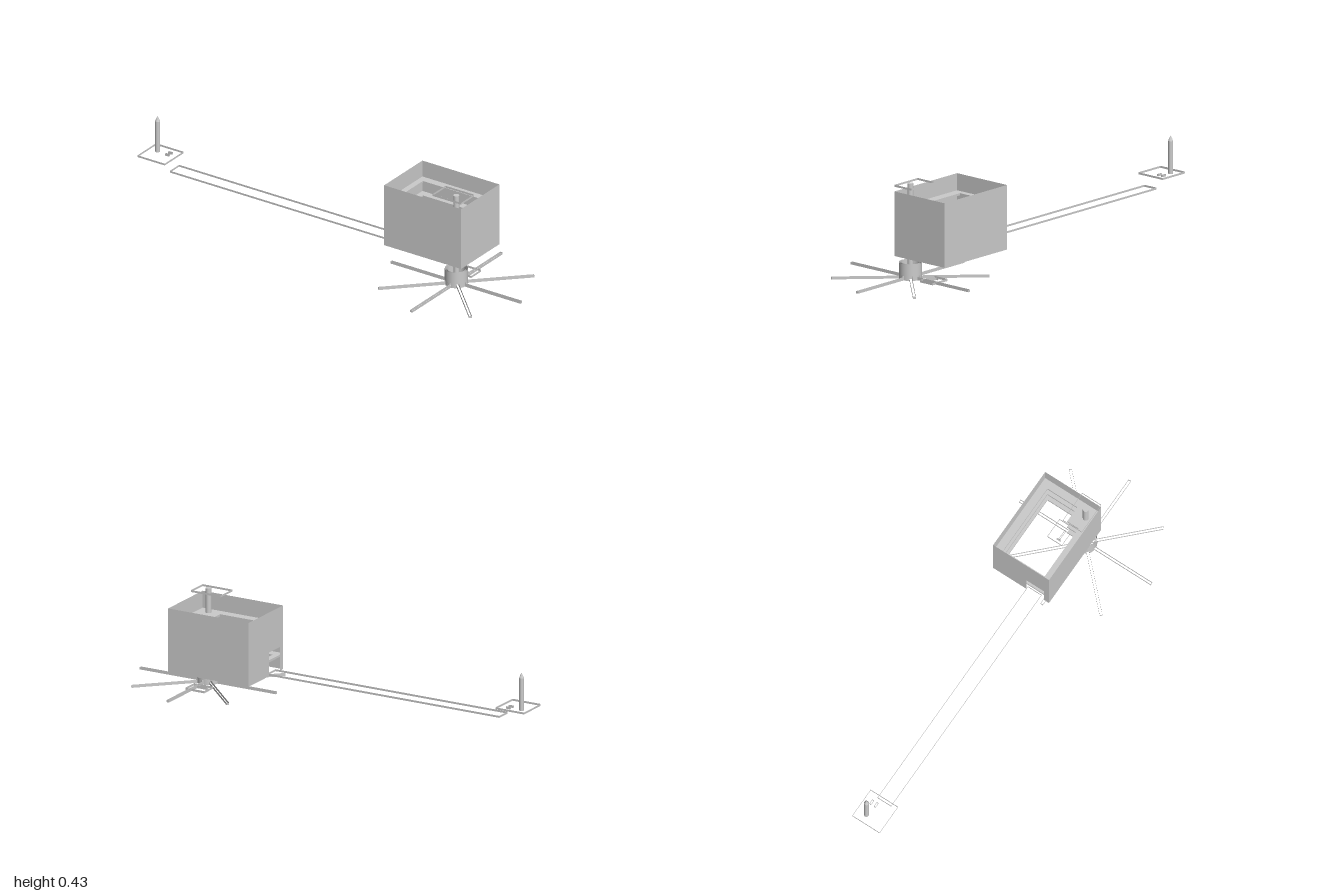
import * as THREE from 'three';

const mat = new THREE.MeshStandardMaterial({ color: 0xcccccc, flatShading: true, side: THREE.DoubleSide });
const smooth = new THREE.MeshStandardMaterial({ color: 0xcccccc, side: THREE.DoubleSide });

function add(parent, name, geometry, material = mat) {
  const mesh = new THREE.Mesh(geometry, material);
  mesh.name = name;
  parent.add(mesh);
  return mesh;
}

// Upright band that follows a closed outline of [x, z] corners
function band(points, y0, y1) {
  const pos = [], index = [];
  points.forEach(([x, z], i) => {
    const [x2, z2] = points[(i + 1) % points.length];
    pos.push(x, y0, z, x2, y0, z2, x2, y1, z2, x, y1, z);
    const k = i * 4;
    index.push(k, k + 1, k + 2, k, k + 2, k + 3);
  });
  const g = new THREE.BufferGeometry();
  g.setAttribute('position', new THREE.Float32BufferAttribute(pos, 3));
  g.setIndex(index);
  g.computeVertexNormals();
  return g;
}

const rect = (x0, x1, z0, z1) => [[x0, z0], [x1, z0], [x1, z1], [x0, z1]];

function circle(cx, cz, r, n = 16) {
  return Array.from({ length: n }, (_, i) => {
    const a = (i / n) * Math.PI * 2;
    return [cx + r * Math.cos(a), cz + r * Math.sin(a)];
  });
}

const toShape = (pts) => new THREE.Shape(pts.map(([a, b]) => new THREE.Vector2(a, b)));

// Post position and box extents
const PX = 0.655, PZ = -0.047;
const X0 = 0.305, X1 = 0.71, Z0 = -0.295, Z1 = -0.004, Y0 = 0.102, Y1 = 0.392;

function makeHousing() {
  const g = new THREE.Group();
  g.name = 'housing';
  // Three plain walls
  const wall = (name, w, x, z, turn) => {
    const m = add(g, name, new THREE.PlaneGeometry(w, Y1 - Y0));
    m.position.set(x, (Y0 + Y1) / 2, z);
    m.rotation.y = turn;
  };
  wall('frontWall', X1 - X0, (X0 + X1) / 2, Z1, 0);
  wall('backWall', X1 - X0, (X0 + X1) / 2, Z0, Math.PI);
  wall('outerWall', Z1 - Z0, X1, (Z0 + Z1) / 2, Math.PI / 2);
  // Wall with the doorway for the arm
  const door = toShape([[Z0, Y0], [-0.12, Y0], [-0.12, 0.21], [-0.03, 0.21],
    [-0.03, Y0], [Z1, Y0], [Z1, Y1], [Z0, Y1]]);
  const doorWall = add(g, 'doorWall', new THREE.ShapeGeometry(door));
  doorWall.rotation.y = -Math.PI / 2;
  doorWall.position.x = X0;

  // Inner ledges with a corner pad around the post
  for (const y of [0.175, 0.245, 0.315]) {
    const ledge = toShape([[X0, Z0], [X1, Z0], [X1, Z1], [X0, Z1]]);
    ledge.holes.push(toShape([[0.332, -0.26], [0.675, -0.26], [0.675, -0.105],
      [0.597, -0.105], [0.597, -0.045], [0.332, -0.045]]));
    const geo = new THREE.ExtrudeGeometry(ledge, { depth: 0.01, bevelEnabled: false });
    geo.rotateX(Math.PI / 2);
    add(g, 'innerLedge', geo).position.y = y;
  }
  return g;
}

function makeBase() {
  const g = new THREE.Group();
  g.name = 'base';
  g.position.set(PX, 0, PZ);
  // Hollow hub with eight notches at its foot
  for (const r of [0.05, 0.042]) {
    const upper = add(g, 'hubWall', new THREE.CylinderGeometry(r, r, 0.053, 48, 1, true), smooth);
    upper.position.y = 0.0465;
    const gap = 0.007 / r;
    for (let i = 0; i < 8; i++) {
      const start = (i * Math.PI) / 4 + gap;
      const foot = add(g, 'hubFoot',
        new THREE.CylinderGeometry(r, r, 0.02, 5, 1, true, start, Math.PI / 4 - 2 * gap), smooth);
      foot.position.y = 0.01;
    }
  }
  // Eight spokes
  for (let i = 0; i < 8; i++) {
    const spoke = add(g, 'spoke', band(rect(0.015, 0.343, -0.006, 0.006), 0, 0.01));
    spoke.rotation.y = (i * Math.PI) / 4;
  }
  return g;
}

export function createModel() {
  const model = new THREE.Group();
  model.name = 'model';
  model.add(makeHousing(), makeBase());

  // Post through the housing, and the frame on its top
  const post = add(model, 'post', new THREE.CylinderGeometry(0.013, 0.013, 0.375, 24), smooth);
  post.position.set(PX, 0.2385, PZ);
  add(model, 'topFrame', band(rect(0.56, 0.71, -0.102, -0.004), 0.413, 0.422));

  // Small frame beside the hub with a lying pin
  add(model, 'lowerFrame', band(rect(0.585, 0.68, -0.2, -0.125), 0, 0.01));
  add(model, 'lowerPin', band(rect(0.6, 0.65, -0.153, -0.147), 0, 0.01));
  add(model, 'lowerPinHead', band(rect(0.598, 0.603, -0.16, -0.14), 0, 0.01));

  // Long arm
  add(model, 'arm', band(rect(-0.855, 0.315, -0.12, -0.05), 0.104, 0.113));

  // End plate outline with round and slotted holes
  add(model, 'endPlate', band(rect(-1, -0.857, -0.155, -0.013), 0.153, 0.162));
  add(model, 'pinHole', band(circle(-0.96, -0.108, 0.011), 0.153, 0.162));
  for (const z of [-0.12, -0.097]) {
    add(model, 'slot', band(rect(-0.912, -0.89, z - 0.004, z + 0.004), 0.153, 0.162));
  }
  // Pointed pin
  const profile = [[0, 0.153], [0.011, 0.153], [0.011, 0.3], [0.011, 0.3], [0, 0.325]];
  const pin = add(model, 'pin',
    new THREE.LatheGeometry(profile.map(([r, y]) => new THREE.Vector2(r, y)), 16));
  pin.position.set(-0.96, 0, -0.108);
  return model;
}
